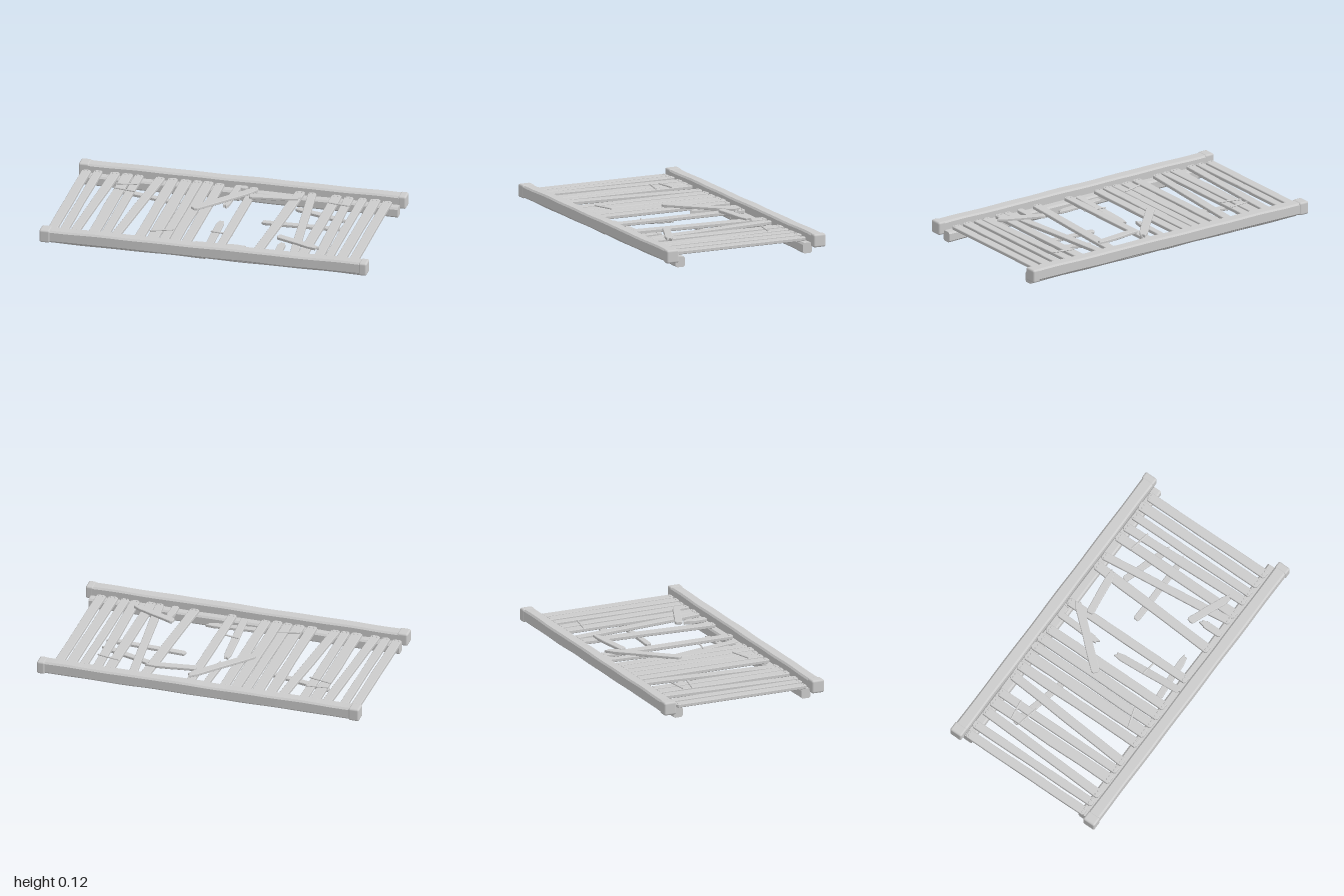
import * as THREE from 'three';
import { toCreasedNormals } from 'three/addons/utils/BufferGeometryUtils.js';
import { RoundedBoxGeometry } from 'three/addons/geometries/RoundedBoxGeometry.js';

const wood = new THREE.MeshStandardMaterial({ color: 0xcccccc });

let seed = 7;
const rand = () => (seed = (seed * 16807) % 2147483647) / 2147483647;
const jitter = (a) => (rand() - 0.5) * 2 * a;

function add(parent, name, geometry, x = 0, y = 0, z = 0) {
  const mesh = new THREE.Mesh(geometry, wood);
  mesh.name = name;
  mesh.position.set(x, y, z);
  parent.add(mesh);
  return mesh;
}

// Squared timber along x: chamfered cross-section, slightly uneven along its length
function timberGeometry(length, height, depth) {
  const h = height / 2, d = depth / 2, c = 0.01;
  const section = new THREE.Shape([
    [-d + c, -h], [d - c, -h], [d, -h + c], [d, h - c],
    [d - c, h], [-d + c, h], [-d, h - c], [-d, -h + c],
  ].map(([x, y]) => new THREE.Vector2(x, y)));
  const g = new THREE.ExtrudeGeometry(section, { depth: length, steps: 24, bevelEnabled: false });
  g.translate(0, 0, -length / 2).rotateY(Math.PI / 2);
  const p = g.attributes.position;
  for (let i = 0; i < p.count; i++) {
    const x = p.getX(i);
    p.setY(i, p.getY(i) * (1 + 0.03 * Math.sin(x * 17)) + 0.001 * Math.sin(x * 9));
    p.setZ(i, p.getZ(i) * (1 + 0.03 * Math.sin(x * 13 + 1)));
  }
  return toCreasedNormals(g, 0.5);
}

// Worn plank along z with chipped, uneven ends; broken ends taper to a splinter
function plankGeometry(length, width, thickness, brokenStart, brokenEnd) {
  const l = length / 2, w = width / 2, pts = [];
  const end = (s, broken) => {
    const cut = broken ? 0.05 : 0.012;
    return [[s * w, s * (l - cut - rand() * 0.008)], [s * w * 0.55, s * (l - rand() * 0.008)],
      [-s * w * 0.1, s * (l - cut * 0.4)], [-s * w * 0.6, s * (l - cut * 0.3)],
      [-s * w, s * (l - cut * 1.2)]];
  };
  const side = (s) => [-0.5, 0, 0.5].map((t) => [s * w * (1 + jitter(0.09)), s * t * l]);
  pts.push(...side(1), ...end(1, brokenEnd), ...side(-1), ...end(-1, brokenStart));
  const b = 0.003;
  const g = new THREE.ExtrudeGeometry(new THREE.Shape(pts.map(([x, y]) => new THREE.Vector2(x, y))), {
    depth: thickness - 2 * b, bevelThickness: b, bevelSize: b, bevelOffset: -b, bevelSegments: 1,
  });
  g.translate(0, 0, -thickness / 2 + b).rotateX(Math.PI / 2);
  return toCreasedNormals(g, 0.5);
}

// Place a plank between two points [x, y, z]
function plank(parent, name, a, b, width, { thickness = 0.021, breakA = false, breakB = false } = {}) {
  const from = new THREE.Vector3(...a), to = new THREE.Vector3(...b);
  const mesh = add(parent, name, plankGeometry(from.distanceTo(to), width, thickness, breakA, breakB));
  mesh.position.copy(from).lerp(to, 0.5);
  mesh.lookAt(to);
  return mesh;
}

export function createModel() {
  const model = new THREE.Group();
  model.name = 'brokenSlattedPanel';

  // Side rails, their end blocks and the bearers beneath
  for (const s of [1, -1]) {
    const side = s > 0 ? 'front' : 'back';
    add(model, side + 'Rail', timberGeometry(1.96, 0.074, 0.074), 0, 0.077, s * 0.481);
    add(model, side + 'RightRailEnd', new RoundedBoxGeometry(0.066, 0.08, 0.081, 2, 0.012), -0.962, 0.076, s * 0.483);
    add(model, side + 'LeftRailEnd', new RoundedBoxGeometry(0.05, 0.08, 0.081, 2, 0.012), 0.972, 0.076, s * 0.483);
    for (const e of [1, -1]) {
      add(model, side + 'Bearer', timberGeometry(0.957, 0.062, 0.06), e * 0.482, 0.033, s * 0.418);
    }
  }

  // Full-length slats: [x at back, x at front, width]
  const slats = [
    [-0.94, -0.94, 0.055], [-0.87, -0.87, 0.05], [-0.765, -0.805, 0.056], [-0.69, -0.69, 0.066],
    [-0.62, -0.62, 0.052], [-0.49, -0.56, 0.055], [-0.415, -0.415, 0.058], [-0.335, -0.335, 0.066],
    [-0.265, -0.265, 0.054], [-0.2, -0.2, 0.06], [-0.13, -0.13, 0.056], [0.08, 0.08, 0.05],
    [0.36, 0.31, 0.058], [0.43, 0.53, 0.05], [0.58, 0.58, 0.06], [0.655, 0.68, 0.055],
    [0.74, 0.74, 0.05], [0.815, 0.815, 0.06], [0.89, 0.89, 0.056],
  ];
  const nail = new THREE.SphereGeometry(0.006, 8, 4, 0, Math.PI * 2, 0, Math.PI / 2);
  for (const [xb, xf, w] of slats) {
    const y = 0.077 + jitter(0.002);
    plank(model, 'slat', [xb, y, -0.442 + jitter(0.006)], [xf, y, 0.43 + jitter(0.006)], w);
    for (const e of [-0.012, 0.012]) {
      add(model, 'nail', nail, xb + e, y + 0.01, -0.415);
      add(model, 'nail', nail, xf + e, y + 0.01, 0.408);
    }
  }

  // Slats snapped off part-way
  plank(model, 'snappedBackSlat', [-0.015, 0.077, -0.44], [-0.03, 0.075, -0.13], 0.042, { breakB: true });
  plank(model, 'backStub', [0.02, 0.077, -0.44], [0.02, 0.077, -0.395], 0.045);
  plank(model, 'frontStub', [0.43, 0.077, 0.27], [0.43, 0.077, 0.43], 0.042, { breakA: true });
  plank(model, 'saggingSlat', [-0.018, 0.035, 0.03 - 0.06], [0.005, 0.066, 0.43], 0.044, { breakA: true, thickness: 0.016 });

  // Loose boards lying over and under the slats
  const loose = [
    [[-0.2, 0.093, -0.03], [0.11, 0.093, -0.385], 0.05],
    [[0.08, 0.093, -0.28], [0.39, 0.093, -0.32], 0.046],
    [[0.38, 0.06, -0.245], [0.71, 0.062, -0.135], 0.04],
    [[0.22, 0.045, -0.045], [0.72, 0.055, -0.038], 0.038],
    [[0.38, 0.094, 0.225], [0.66, 0.094, 0.34], 0.046],
    [[-0.1, 0.05, 0.35], [0.22, 0.046, 0.327], 0.04],
    [[-0.73, 0.062, -0.245], [-0.3, 0.062, -0.15], 0.04],
  ];
  for (const [a, b, w] of loose) plank(model, 'looseBoard', a, b, w, { breakB: true, thickness: 0.018 });

  // Thin splinters scattered on top: [x0, z0, x1, z1]
  const splinters = [
    [-0.73, -0.27, -0.59, -0.29], [-0.73, -0.215, -0.585, -0.185], [-0.035, 0.19, 0.115, 0.215],
    [-0.375, 0.325, -0.235, 0.28], [0.55, -0.315, 0.695, -0.29],
  ];
  splinters.forEach(([x0, z0, x1, z1], i) => {
    const y = i === 2 ? 0.066 : 0.091;
    plank(model, 'splinter', [x0, y, z0], [x1, y + 0.003, z1], 0.011, { thickness: 0.009 });
  });

  return model;
}
